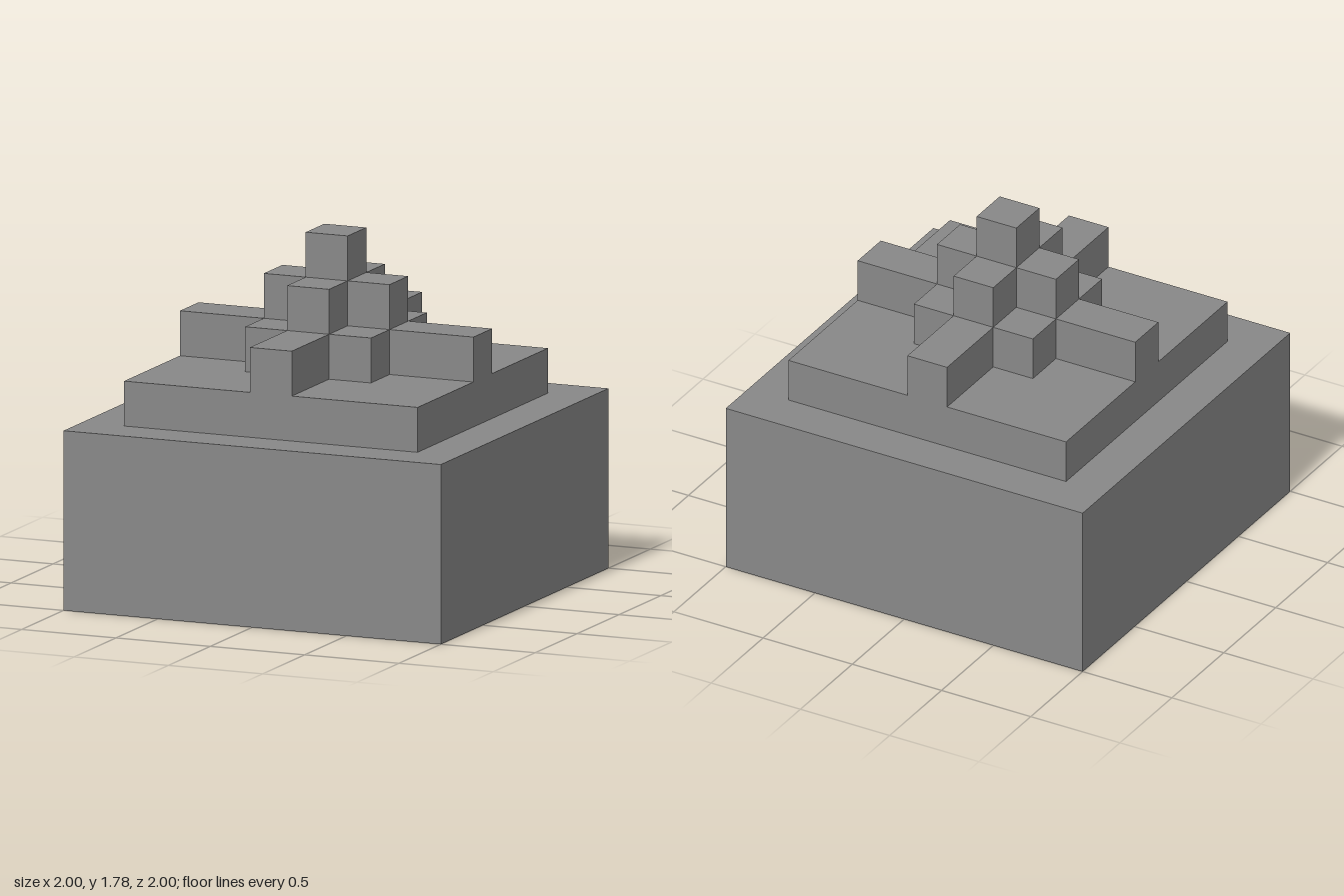
import * as THREE from 'three';

const UNIT = 2 / 9; // edge of one block

// One storey with fourfold symmetry: a quarter of its outline (in blocks) is turned four times.
function storey(name, quarter, bottom, height, material) {
  const outline = [];
  for (let turn = 0; turn < 4; turn++) {
    for (const [x, y] of quarter) {
      const [px, py] = [[x, y], [-y, x], [-x, -y], [y, -x]][turn];
      outline.push(new THREE.Vector2(px * UNIT, py * UNIT));
    }
  }
  const geometry = new THREE.ExtrudeGeometry(new THREE.Shape(outline), {
    depth: height * UNIT,
    bevelEnabled: false,
  });
  geometry.rotateX(-Math.PI / 2);
  const mesh = new THREE.Mesh(geometry, material);
  mesh.name = name;
  mesh.position.y = bottom * UNIT;
  return mesh;
}

export function createModel() {
  const stone = new THREE.MeshStandardMaterial({ color: 0x888888 });
  stone.name = 'grey stone';

  const group = new THREE.Group();
  group.name = 'steppedMonument';
  group.add(
    // Square base and terrace
    storey('base', [[4.5, -4.5]], 0, 4, stone),
    storey('terrace', [[3.5, -3.5]], 4, 1, stone),
    // Long cross ridges with a 3 x 3 block in the middle
    storey('crossRidges', [[3.5, -0.5], [3.5, 0.5], [1.5, 0.5], [1.5, 1.5], [0.5, 1.5]], 5, 1, stone),
    // Short cross and the single block on top
    storey('upperCross', [[1.5, -0.5], [1.5, 0.5], [0.5, 0.5]], 6, 1, stone),
    storey('topBlock', [[0.5, -0.5]], 7, 1, stone),
  );
  return group;
}
